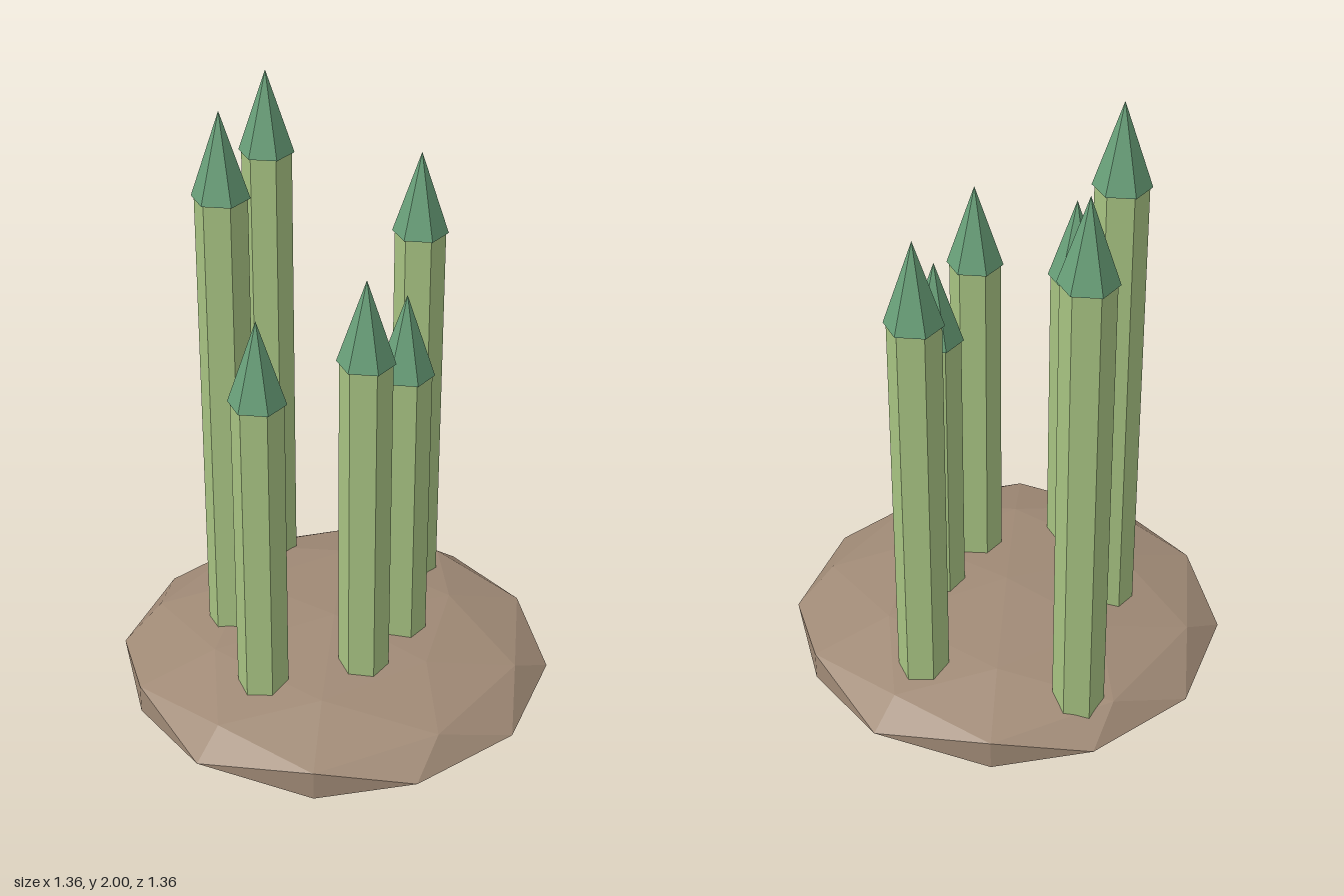
import * as THREE from 'three';

export function createModel() {
  const model = new THREE.Group();
  model.name = 'islandWithSpires';
  const flat = (name, color) => {
    const m = new THREE.MeshStandardMaterial({ color, flatShading: true });
    m.name = name;
    return m;
  };
  const rock = flat('rockBrown', 0xa08a76);
  const stem = flat('stemGreen', 0xa7c382);
  const cap = flat('capGreen', 0x69a079);

  // Flattened faceted rock
  const base = new THREE.Mesh(
    new THREE.IcosahedronGeometry(0.68, 1).rotateY(Math.PI / 2).scale(1, 0.225, 1), rock);
  base.name = 'rockBase';
  base.position.y = 0.153;
  model.add(base);

  // Hexagonal spires with pointed caps: x, z, height of the cap's lower edge
  const CAP = 0.26, FOOT = 0.16;
  const capGeo = new THREE.ConeGeometry(0.086, CAP, 6).rotateY(Math.PI / 6);
  const spires = [
    [-0.36, 0, 1.255],
    [-0.163, -0.28, 1.74],
    [-0.117, 0.202, 1.345],
    [0.108, 0.183, 1.2],
    [0.258, -0.453, 1.69],
    [0.432, 0, 1.485],
  ];
  spires.forEach(([x, z, top], i) => {
    const spire = new THREE.Group();
    spire.name = `spire${i + 1}`;
    spire.position.set(x, 0, z);
    const h = top - FOOT;
    const column = new THREE.Mesh(
      new THREE.CylinderGeometry(0.078, 0.078, h, 6).rotateY(Math.PI / 6), stem);
    column.name = 'column';
    column.position.y = FOOT + h / 2;
    const tip = new THREE.Mesh(capGeo, cap);
    tip.name = 'pointedCap';
    tip.position.y = top + CAP / 2;
    spire.add(column, tip);
    model.add(spire);
  });
  return model;
}
